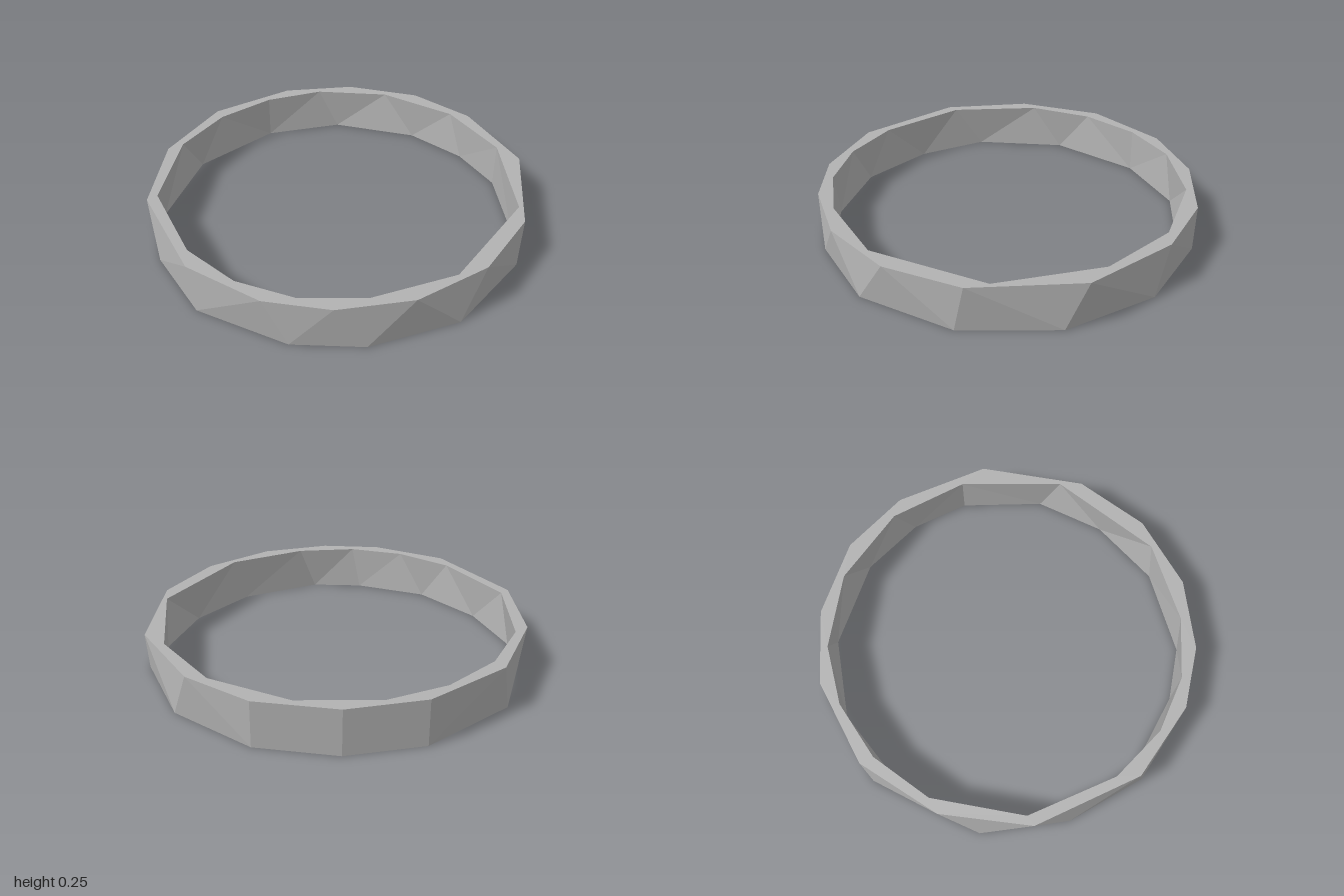
import * as THREE from 'three';

const HEIGHT = 0.245;

// Corner outlines [x, z], each starting at the front and running towards +x
const OUTER_TOP = [[0.26, 0.96], [0.63, 0.77], [0.96, 0.31], [0.98, -0.2], [0.84, -0.56], [0.54, -0.85], [0.17, -1],
  [-0.31, -0.975], [-0.71, -0.725], [-0.97, -0.32], [-0.98, 0.27], [-0.77, 0.65], [-0.51, 0.86], [-0.15, 0.985]];
const OUTER_BOTTOM = [[0.1, 1], [0.59, 0.8], [0.91, 0.41], [1, -0.09], [0.84, -0.555], [0.54, -0.845], [0.17, -1],
  [-0.365, -0.96], [-0.855, -0.57], [-1, -0.12], [-0.97, 0.32], [-0.68, 0.735], [-0.37, 0.925]];
const INNER_TOP = [[0.11, 0.935], [0.68, 0.66], [0.92, 0.16], [0.9, -0.27], [0.68, -0.66], [0.34, -0.89], [0.02, -0.95],
  [-0.31, -0.9], [-0.62, -0.73], [-0.91, -0.33], [-0.93, 0.16], [-0.82, 0.47], [-0.62, 0.71], [-0.33, 0.87]];
const INNER_BOTTOM = [[0.04, 0.925], [0.43, 0.81], [0.735, 0.57], [0.92, 0.16], [0.915, -0.16], [0.79, -0.5], [0.44, -0.84],
  [0.02, -0.955], [-0.485, -0.835], [-0.845, -0.475], [-0.94, -0.09], [-0.89, 0.33], [-0.65, 0.67], [-0.42, 0.845]];

const loop = (points, y) => points.map(([x, z]) => new THREE.Vector3(x, y, z));

// Stitch two closed loops with triangles, always taking the shorter diagonal
function stitch(a, b) {
  const corners = [];
  let i = 0, j = 0;
  while (i < a.length || j < b.length) {
    const a0 = a[i % a.length], a1 = a[(i + 1) % a.length];
    const b0 = b[j % b.length], b1 = b[(j + 1) % b.length];
    const stepA = j >= b.length || (i < a.length && a1.distanceTo(b0) <= a0.distanceTo(b1));
    if (stepA) {
      corners.push(a0, a1, b0);
      i++;
    } else {
      corners.push(a0, b1, b0);
      j++;
    }
  }
  const geometry = new THREE.BufferGeometry().setFromPoints(corners);
  geometry.computeVertexNormals();
  return geometry;
}

export function createModel() {
  const group = new THREE.Group();
  group.name = 'facetedRing';

  const metal = new THREE.MeshStandardMaterial({ color: 0xb2b2b2 });
  metal.name = 'greyMetal';

  const outerTop = loop(OUTER_TOP, HEIGHT);
  const outerBottom = loop(OUTER_BOTTOM, 0);
  const innerTop = loop(INNER_TOP, HEIGHT);
  const innerBottom = loop(INNER_BOTTOM, 0);

  // Four faceted bands close the ring
  const bands = {
    outerWall: [outerBottom, outerTop],
    topRim: [outerTop, innerTop],
    innerWall: [innerTop, innerBottom],
    bottomRim: [innerBottom, outerBottom],
  };
  for (const [name, [from, to]] of Object.entries(bands)) {
    const mesh = new THREE.Mesh(stitch(from, to), metal);
    mesh.name = name;
    group.add(mesh);
  }
  return group;
}
